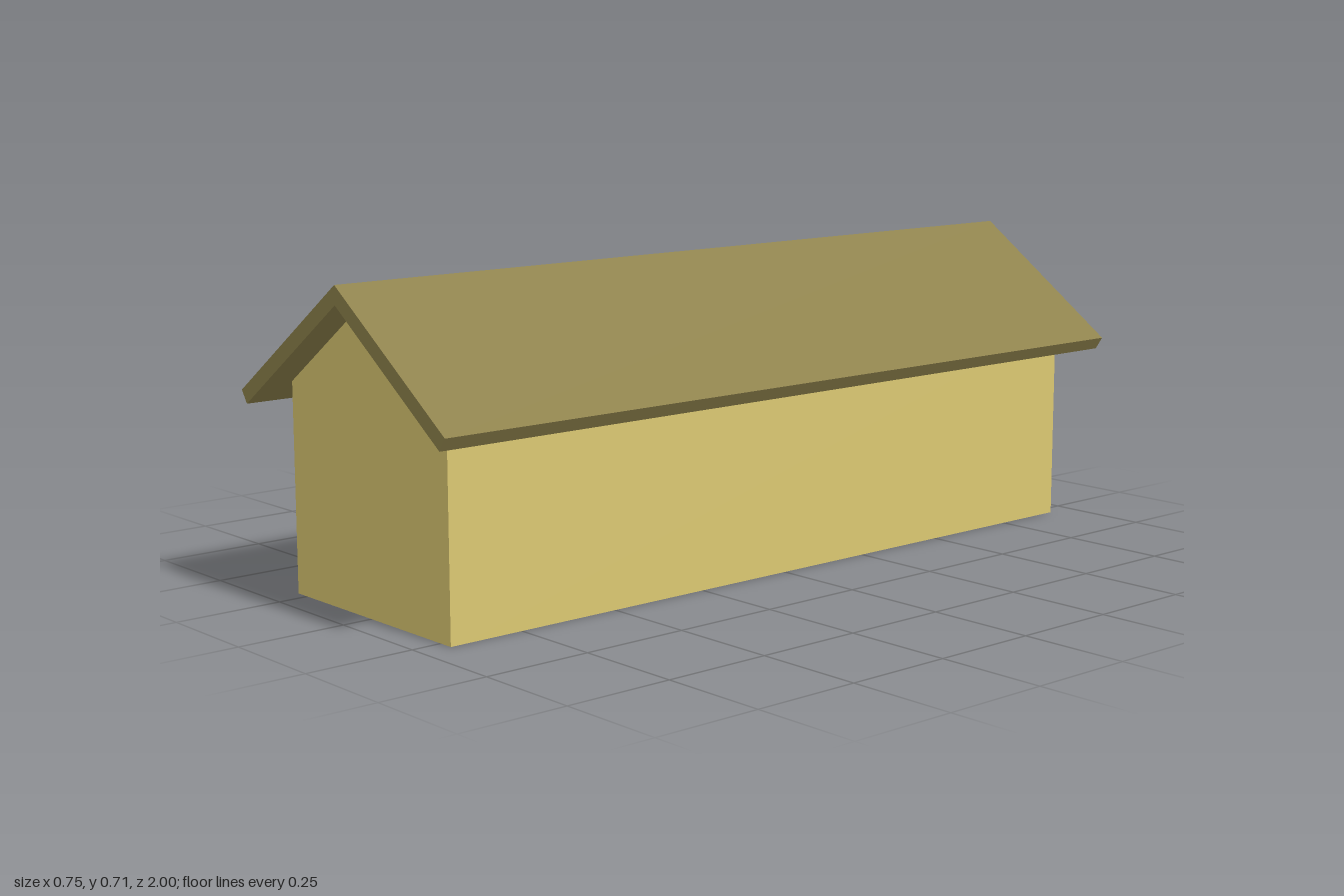
import * as THREE from 'three';

const HALF_W = 0.285, HALF_L = 0.93, WALL = 0.03;
const RIDGE = 0.672, PITCH = Math.tan(THREE.MathUtils.degToRad(35));
const underRoof = x => RIDGE - PITCH * Math.abs(x);

const wallMat = new THREE.MeshStandardMaterial({ color: 0xdbc872 });
const roofMat = new THREE.MeshStandardMaterial({ color: 0x8e824c });
const floorMat = new THREE.MeshStandardMaterial({ color: 0x888888 });

// Extrudes an x-y outline along z, centred on z
function prism(name, points, length, z, material) {
  const shape = new THREE.Shape(points.map(([x, y]) => new THREE.Vector2(x, y)));
  const geometry = new THREE.ExtrudeGeometry(shape, { depth: length, bevelEnabled: false });
  geometry.translate(0, 0, z - length / 2);
  const mesh = new THREE.Mesh(geometry, material);
  mesh.name = name;
  return mesh;
}

export function createModel() {
  const group = new THREE.Group();
  group.name = 'gabledHouse';

  // Gable end walls
  const gable = [[-HALF_W, 0], [HALF_W, 0], [HALF_W, underRoof(HALF_W)], [0, RIDGE], [-HALF_W, underRoof(HALF_W)]];
  for (const [name, s] of [['frontGable', 1], ['backGable', -1]]) {
    group.add(prism(name, gable, WALL, s * (HALF_L - WALL / 2), wallMat));
  }

  for (const [side, s] of [['left', 1], ['right', -1]]) {
    // Long side wall, its top cut to the roof pitch
    const inner = HALF_W - WALL;
    const wall = [[inner, 0], [HALF_W, 0], [HALF_W, underRoof(HALF_W)], [inner, underRoof(inner)]];
    group.add(prism(side + 'Wall', wall.map(([x, y]) => [s * x, y]), 2 * (HALF_L - WALL), 0, wallMat));

    // Roof slab with square-cut eave
    const roof = [[0, RIDGE], [0.358, underRoof(0.358)], [0.377, 0.45], [0, 0.714]];
    group.add(prism(side + 'Roof', roof.map(([x, y]) => [s * x, y]), 2, 0, roofMat));
  }

  // Floor slab set between the walls
  const floor = new THREE.Mesh(new THREE.BoxGeometry(2 * (HALF_W - WALL), 0.03, 2 * (HALF_L - WALL)), floorMat);
  floor.position.y = 0.015;
  floor.name = 'floor';
  group.add(floor);

  return group;
}
